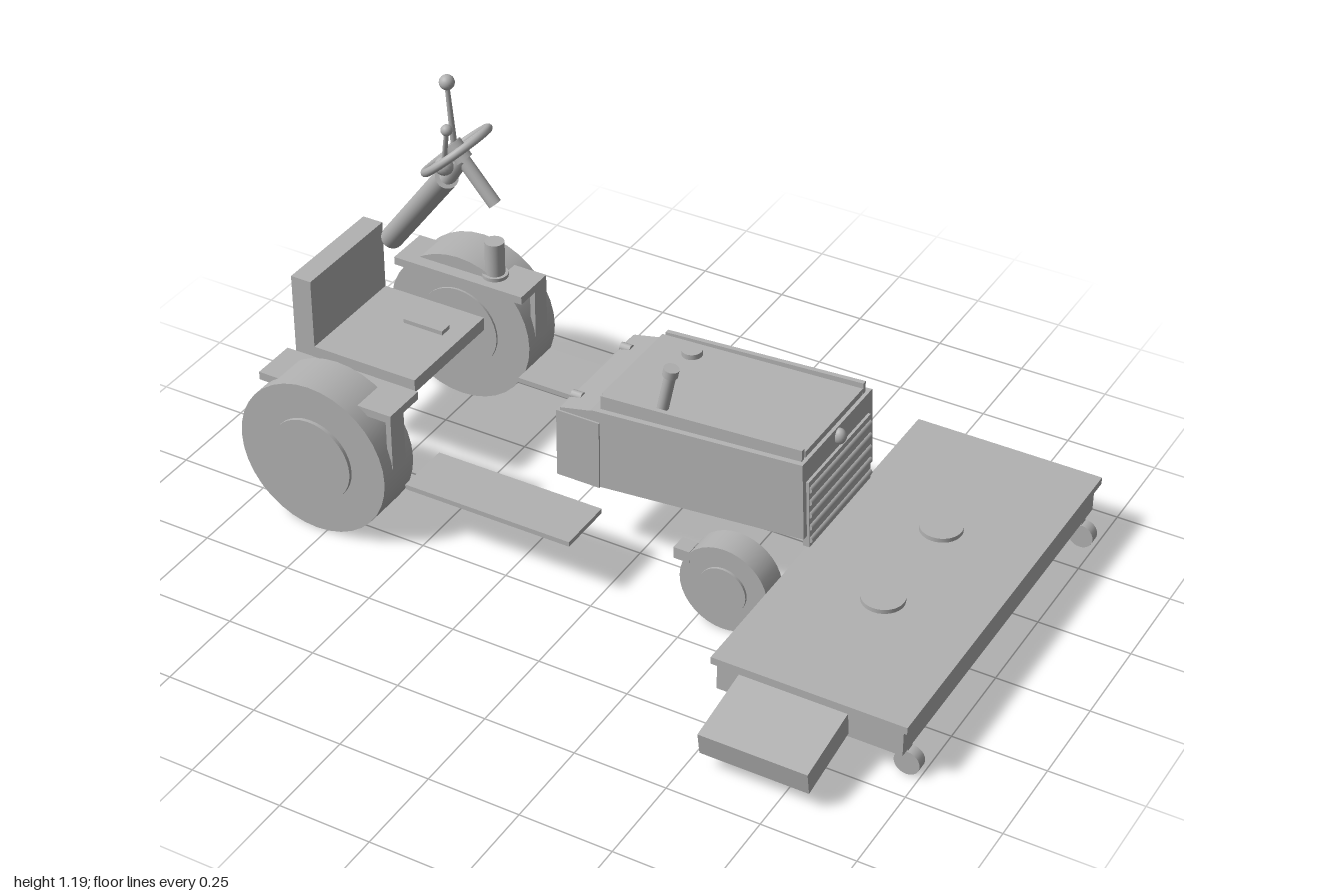
import * as THREE from 'three';

const CZ = -0.096; // centre line of the tractor in z
const grey = new THREE.MeshStandardMaterial({ color: 0xb2b2b2 });
grey.name = 'plain grey';
const V = (x, y, z) => new THREE.Vector3(x, y, z);

export function createModel() {
  const model = new THREE.Group();
  model.name = 'ridingMower';

  const add = (name, geo, x = 0, y = 0, z = 0) => {
    const m = new THREE.Mesh(geo, grey);
    m.name = name;
    m.position.set(x, y, z);
    model.add(m);
    return m;
  };
  // box given by its limits
  const box = (name, x0, x1, y0, y1, z0, z1) =>
    add(name, new THREE.BoxGeometry(x1 - x0, y1 - y0, z1 - z0), (x0 + x1) / 2, (y0 + y1) / 2, (z0 + z1) / 2);
  // rod between two points
  const rod = (name, a, b, r, r2 = r, seg = 20) => {
    const d = b.clone().sub(a);
    const m = add(name, new THREE.CylinderGeometry(r2, r, d.length(), seg));
    m.position.copy(a).addScaledVector(d, 0.5);
    m.quaternion.setFromUnitVectors(V(0, 1, 0), d.normalize());
    return m;
  };
  // disc with its axis along z
  const disc = (name, x, y, z0, z1, r, seg = 36) => rod(name, V(x, y, z0), V(x, y, z1), r, r, seg);
  // side profile extruded across z
  const slab = (name, pts, z0, z1) => {
    const s = new THREE.Shape(pts.map(p => new THREE.Vector2(p[0], p[1])));
    return add(name, new THREE.ExtrudeGeometry(s, { depth: z1 - z0, bevelEnabled: false }), 0, 0, z0);
  };

  for (const s of [1, -1]) {
    const z = d => CZ + s * d;
    const span = (name, x0, x1, y0, y1, a, b) =>
      box(name, x0, x1, y0, y1, Math.min(z(a), z(b)), Math.max(z(a), z(b)));

    // large wheels with hubs
    disc('rearTyre', -0.78, 0.22, z(0.285), z(0.417), 0.22);
    disc('rearHub', -0.78, 0.22, z(0.279), z(0.427), 0.12);
    // small wheels with hubs and axle stubs
    disc('frontTyre', 0.33, 0.123, z(0.18), z(0.26), 0.123);
    disc('frontHub', 0.33, 0.123, z(0.175), z(0.267), 0.066);
    span('frontWheelBracket', 0.19, 0.235, 0.17, 0.203, 0.215, 0.262);
    // fender plate with a front flap
    span('fenderPlate', -0.96, -0.56, 0.38, 0.403, 0.25, 0.377);
    span('fenderFlap', -0.575, -0.56, 0.24, 0.385, 0.318, 0.377);
    // foot boards
    span('footBoard', -0.54, -0.055, 0.172, 0.186, 0.195, 0.355);
    // hood hinges
    rod('hoodHinge', V(-0.18, 0.452, z(0.122)), V(-0.15, 0.452, z(0.122)), 0.012, 0.012, 12);
  }

  // seat
  box('seatBase', -1, -0.63, 0.322, 0.36, -0.27, 0.065);
  box('seatBack', -1, -0.94, 0.322, 0.56, -0.27, 0.065);
  box('seatStrip', -0.8, -0.68, 0.36, 0.372, -0.18, -0.145);

  // fuel filler on the fender
  rod('fillerCollar', V(-0.677, 0.4, -0.405), V(-0.677, 0.413, -0.405), 0.036);
  rod('fillerNeck', V(-0.677, 0.41, -0.405), V(-0.677, 0.51, -0.405), 0.027);

  // steering column
  rod('steeringColumn', V(-0.917, 0.515, -0.28), V(-0.6, 0.905, -0.075), 0.031);
  const hub = V(-0.582, 0.977, CZ);
  const axis = V(-0.66, 0.75, 0).normalize();
  const along = t => hub.clone().addScaledVector(axis, t);
  rod('columnNeck', V(-0.61, 0.89, -0.08), along(-0.02), 0.024);
  const wheel = new THREE.Group();
  wheel.name = 'steeringWheel';
  wheel.position.copy(hub);
  wheel.quaternion.setFromUnitVectors(V(0, 0, 1), axis);
  const rim = new THREE.Mesh(new THREE.TorusGeometry(0.097, 0.011, 10, 40), grey);
  rim.name = 'steeringRim';
  wheel.add(rim);
  for (const a of [0, Math.PI / 2]) {
    const spoke = new THREE.Mesh(new THREE.CylinderGeometry(0.007, 0.007, 0.19, 10), grey);
    spoke.name = 'steeringSpoke';
    spoke.rotation.z = a;
    wheel.add(spoke);
  }
  model.add(wheel);
  rod('steeringHub', along(-0.03), along(0.022), 0.026);
  rod('steeringShaft', along(-0.02), along(-0.165), 0.018);

  // control levers with knobs
  rod('tallLever', V(-0.585, 0.95, -0.096), V(-0.597, 1.165, -0.086), 0.009, 0.006, 12);
  add('tallLeverKnob', new THREE.SphereGeometry(0.02, 20, 14), -0.597, 1.172, -0.086);
  rod('shortLever', V(-0.6, 0.93, -0.06), V(-0.566, 1.07, -0.03), 0.007, 0.006, 12);
  add('shortLeverKnob', new THREE.SphereGeometry(0.015, 18, 12), -0.566, 1.073, -0.03);
  add('leverJoint', new THREE.SphereGeometry(0.025, 18, 12), -0.598, 0.945, -0.062);

  // engine: rear box, hood and lid
  box('engineRearBox', -0.187, -0.064, 0.245, 0.442, -0.29, 0.095);
  slab('hood', [[-0.066, 0.245], [0.51, 0.297], [0.5, 0.515], [-0.09, 0.472], [-0.09, 0.43], [-0.066, 0.43]], -0.283, 0.09);
  slab('hoodRearLedge', [[-0.178, 0.44], [-0.08, 0.44], [-0.08, 0.472], [-0.178, 0.45]], -0.283, 0.09);
  slab('hoodLid', [[-0.078, 0.47], [0.49, 0.51], [0.49, 0.532], [-0.078, 0.505]], -0.25, 0.055);
  for (const z of [-0.265, 0.062]) // lid rails
    slab('lidRail', [[-0.07, 0.47], [0.49, 0.512], [0.49, 0.546], [-0.07, 0.512]], z, z + 0.013);
  rod('radiatorCap', V(0.037, 0.5, -0.2), V(0.036, 0.525, -0.2), 0.027);

  // exhaust pipe
  rod('exhaustPipe', V(0.085, 0.49, 0.045), V(0.112, 0.625, 0.045), 0.015);
  rod('exhaustTip', V(0.11, 0.618, 0.045), V(0.114, 0.64, 0.045), 0.02);

  // grille with louvres and lamp
  slab('grillePanel', [[0.5, 0.265], [0.518, 0.265], [0.51, 0.457], [0.49, 0.457]], -0.26, 0.073);
  for (let i = 0; i < 5; i++)
    rod('grilleLouvre', V(0.515 - i * 0.0015, 0.285 + i * 0.037, -0.257), V(0.515 - i * 0.0015, 0.285 + i * 0.037, 0.07), 0.009, 0.009, 10);
  add('headLamp', new THREE.SphereGeometry(0.02, 20, 14), 0.506, 0.49, CZ).scale.set(0.9, 1.1, 0.85);

  // cutting deck
  box('deckBody', 0.472, 0.967, 0.078, 0.16, -0.65, 0.455);
  box('deckTop', 0.46, 0.98, 0.156, 0.176, -0.663, 0.465);
  for (const z of [-0.262, 0.064])
    rod('spindleCover', V(0.718, 0.17, z), V(0.718, 0.188, z), 0.056, 0.056, 32);

  // discharge chute: sloped box
  const chute = box('dischargeChute', 0.535, 0.825, 0.068, 0.134, 0.455, 0.66);
  chute.rotation.x = 0.175;

  // deck casters
  for (const z of [0.41, -0.6]) {
    disc('casterWheel', 0.965, 0.034, z - 0.015, z + 0.015, 0.034, 24);
    box('casterFork', 0.945, 0.965, 0.05, 0.085, z - 0.012, z + 0.012);
  }
  return model;
}
